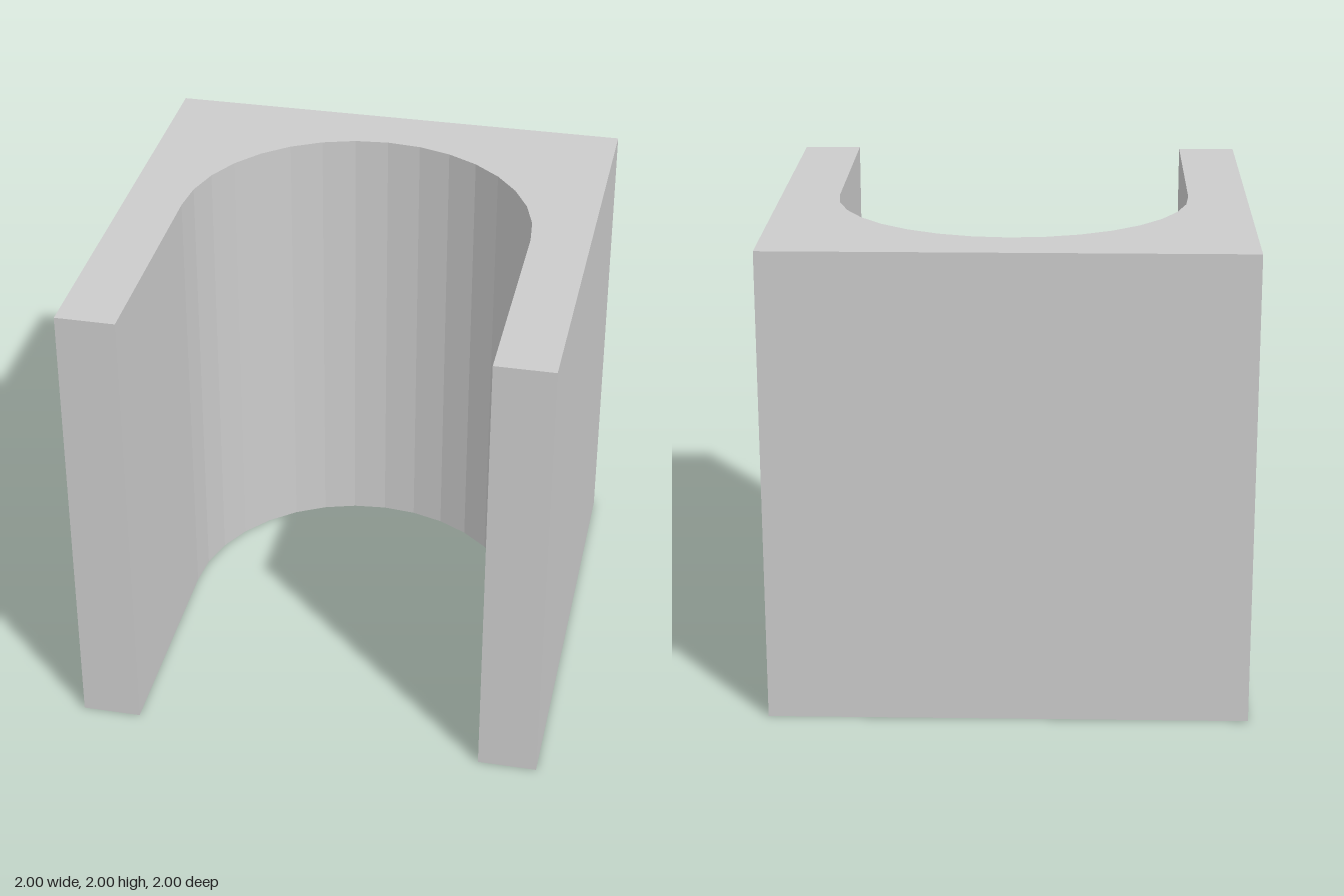
import * as THREE from 'three';

export function createModel() {
  const group = new THREE.Group();
  const half = 1, radius = 0.75, height = 2;

  // Plan outline: square block with a round-ended slot open to the front
  const plan = new THREE.Shape();
  plan.moveTo(-half, -half);
  plan.lineTo(-radius, -half);
  plan.lineTo(-radius, 0);
  plan.absarc(0, 0, radius, Math.PI, 0, true);
  plan.lineTo(radius, -half);
  plan.lineTo(half, -half);
  plan.lineTo(half, half);
  plan.lineTo(-half, half);
  plan.closePath();

  // Raise the plan upright; 8 curve segments give 16 facets on the half circle
  const geometry = new THREE.ExtrudeGeometry(plan, {
    depth: height, bevelEnabled: false, curveSegments: 8,
  });
  geometry.rotateX(-Math.PI / 2);

  const block = new THREE.Mesh(
    geometry,
    new THREE.MeshStandardMaterial({ color: 0xcccccc, flatShading: true })
  );
  block.name = 'slottedBlock';
  group.add(block);
  return group;
}
